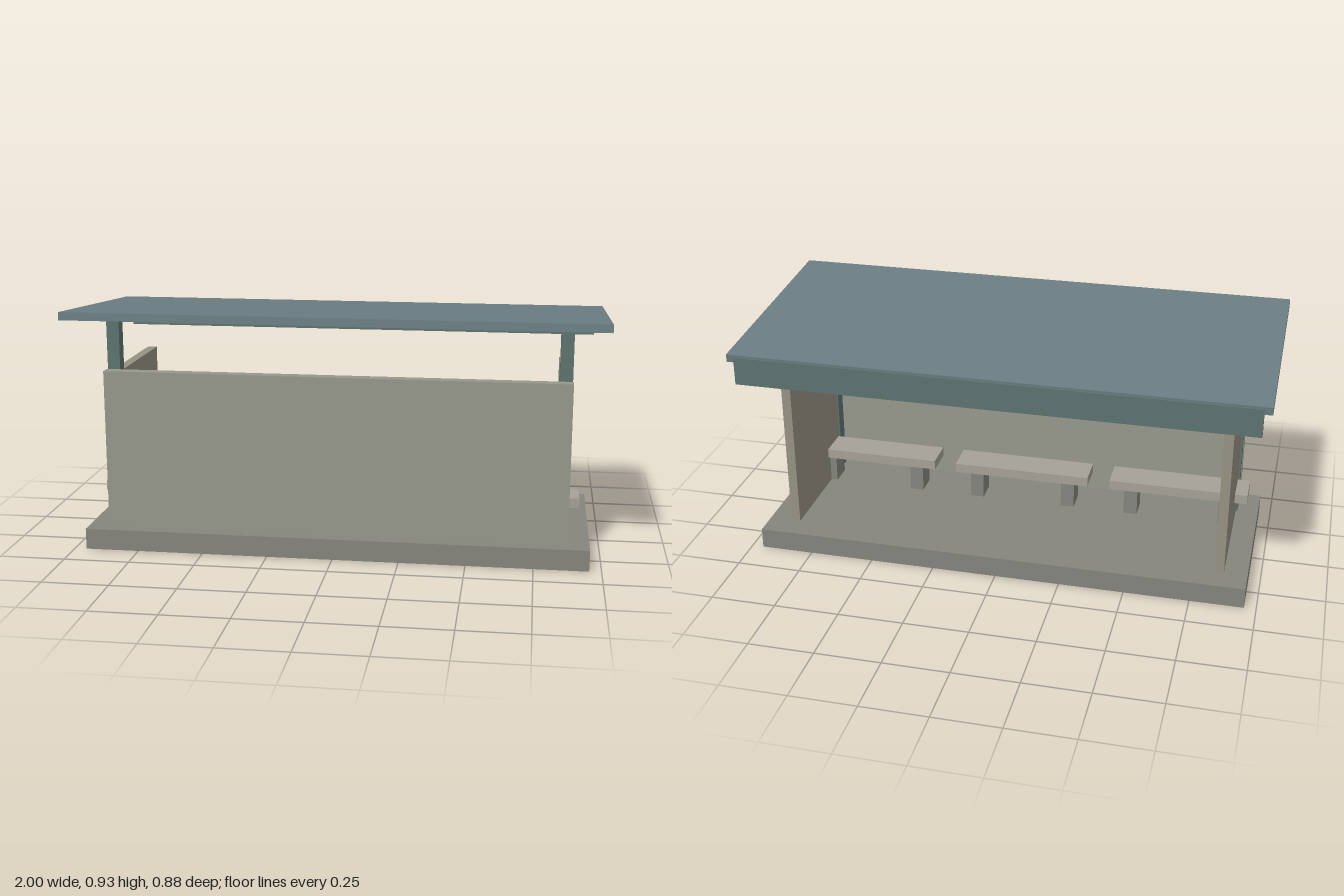
import * as THREE from 'three';

const material = (color) => new THREE.MeshStandardMaterial({ color, flatShading: true });

export function createModel() {
  const model = new THREE.Group();
  model.name = 'benchShelter';

  const concrete = material(0x85857d);
  const panel = material(0x96978b);
  const sidePanel = material(0x969282);
  const steel = material(0x5e736f);
  const roofMetal = material(0x6a7d83);
  const timber = material(0xa5a197);

  // Box given by its limits on each axis
  function block(name, mat, [x0, x1], [y0, y1], [z0, z1], parent = model) {
    const mesh = new THREE.Mesh(new THREE.BoxGeometry(x1 - x0, y1 - y0, z1 - z0), mat);
    mesh.position.set((x0 + x1) / 2, (y0 + y1) / 2, (z0 + z1) / 2);
    mesh.name = name;
    parent.add(mesh);
    return mesh;
  }

  // Base slab and long front wall
  block('slab', concrete, [-0.955, 0.955], [0, 0.08], [-0.362, 0.37]);
  block('frontWall', panel, [-0.875, 0.875], [0.08, 0.69], [0.278, 0.323]);

  // End walls and roof posts, mirrored
  for (const [side, s] of [['left', 1], ['right', -1]]) {
    const span = (a, b) => (s > 0 ? [a, b] : [-b, -a]);
    block(side + 'Wall', sidePanel, span(0.83, 0.866), [0.08, 0.677], [-0.265, 0.272]);
    block(side + 'Post', steel, span(0.825, 0.873), [0.08, 0.885], [0.219, 0.269]);
  }

  // Sloping roof, higher at the front, with a fascia along the low edge
  const roof = new THREE.Mesh(new THREE.BoxGeometry(2, 0.03, 0.871), roofMetal);
  roof.name = 'roof';
  roof.position.set(0, 0.88, 0.003);
  roof.rotation.x = -0.0803;
  model.add(roof);
  block('fascia', steel, [-0.97, 0.97], [0.745, 0.852], [-0.438, -0.41]);

  // Row of three benches; the outer ones run through the end walls
  for (const x of [-0.64, 0, 0.64]) {
    const bench = new THREE.Group();
    bench.name = 'bench';
    bench.position.x = x;
    block('seat', timber, [-0.275, 0.275], [0.192, 0.23], [0.081, 0.21], bench);
    for (const legX of [-0.19, 0.19]) {
      block('benchLeg', concrete, [legX - 0.027, legX + 0.027], [0.08, 0.192], [0.1, 0.19], bench);
    }
    model.add(bench);
  }

  return model;
}
